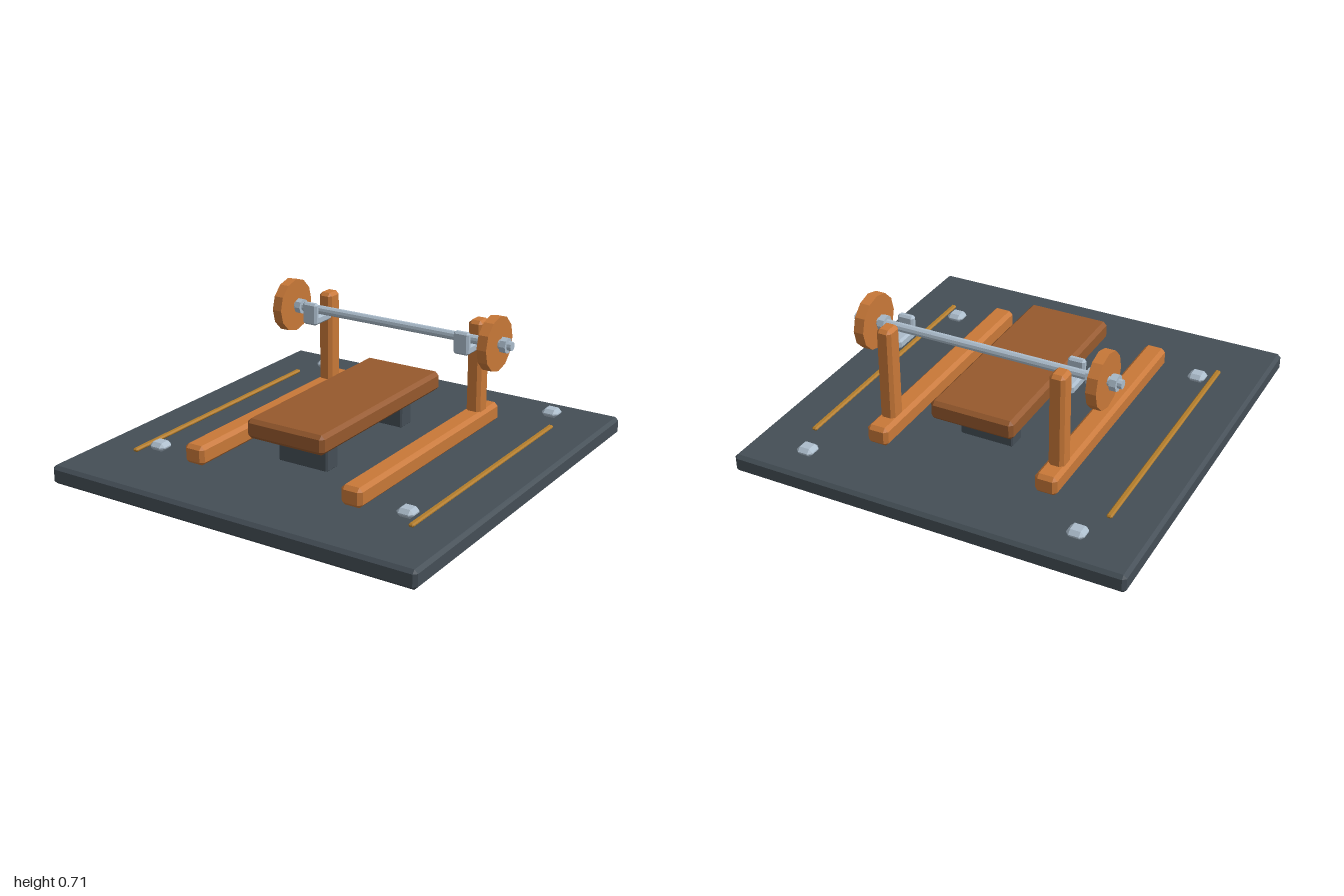
import * as THREE from 'three';
import { ConvexGeometry } from 'three/addons/geometries/ConvexGeometry.js';

const material = (name, color) => {
  const m = new THREE.MeshStandardMaterial({ color });
  m.name = name;
  return m;
};

// Box with every edge cut by a flat chamfer c
function chamferBox(w, h, d, c) {
  const points = [];
  for (const sx of [-1, 1]) for (const sy of [-1, 1]) for (const sz of [-1, 1]) {
    const x = w / 2, y = h / 2, z = d / 2;
    points.push(
      new THREE.Vector3(sx * x, sy * (y - c), sz * (z - c)),
      new THREE.Vector3(sx * (x - c), sy * y, sz * (z - c)),
      new THREE.Vector3(sx * (x - c), sy * (y - c), sz * z));
  }
  return new ConvexGeometry(points);
}

export function createModel() {
  const model = new THREE.Group();
  model.name = 'weightBench';

  const slate = material('slate', 0x444e56);
  const orange = material('orange', 0xc87838);
  const brown = material('brown', 0x96592d);
  const steel = material('steel', 0xabbccb);
  const gold = material('gold', 0xb27c2a);

  // Chamfered box given by its lower and upper limits on each axis
  const box = (name, mat, [x0, x1], [y0, y1], [z0, z1], c) => {
    const mesh = new THREE.Mesh(chamferBox(x1 - x0, y1 - y0, z1 - z0, c), mat);
    mesh.position.set((x0 + x1) / 2, (y0 + y1) / 2, (z0 + z1) / 2);
    mesh.name = name;
    model.add(mesh);
  };

  // Faceted cylinder lying along x on the barbell axis
  const barY = 0.578, barZ = -0.375;
  const disc = (name, mat, x, length, radius, sides) => {
    const geo = new THREE.CylinderGeometry(radius, radius, length, sides).toNonIndexed();
    geo.computeVertexNormals();
    const mesh = new THREE.Mesh(geo, mat);
    mesh.rotation.z = Math.PI / 2;
    mesh.position.set(x, barY, barZ);
    mesh.name = name;
    model.add(mesh);
  };

  // Floor platform
  box('platform', slate, [-0.97, 0.97], [0, 0.09], [-1, 1], 0.016);

  // Bench
  box('benchPad', brown, [-0.21, 0.21], [0.23, 0.326], [-0.522, 0.522], 0.018);
  box('benchFrontLeg', slate, [-0.135, 0.135], [0.085, 0.235], [0.28, 0.376], 0.008);
  box('benchRearLeg', slate, [-0.135, 0.135], [0.085, 0.235], [-0.372, -0.276], 0.008);

  // Barbell
  disc('bar', steel, 0, 1.34, 0.022, 10);

  for (const s of [-1, 1]) {
    const span = (cx, w) => [s * cx - w / 2, s * cx + w / 2];

    // Rack: floor rail, upright and bar cup
    box('rackRail', orange, span(0.428, 0.108), [0.088, 0.184], [-0.638, 0.638], 0.018);
    box('rackPost', orange, span(0.43, 0.075), [0.1, 0.642], [-0.54, -0.448], 0.016);
    box('cupBase', steel, span(0.43, 0.082), [0.51, 0.556], [-0.455, -0.31], 0.01);
    box('cupLip', steel, span(0.43, 0.082), [0.51, 0.622], [-0.345, -0.31], 0.01);

    // Weight plate between two collars
    disc('weightPlate', orange, s * 0.577, 0.05, 0.134, 12);
    disc('innerCollar', steel, s * 0.522, 0.032, 0.039, 8);
    disc('outerCollar', steel, s * 0.633, 0.032, 0.039, 8);

    // Platform trim and anchor bolts
    box('trimStrip', gold, span(0.75, 0.027), [0.092, 0.109], [-0.672, 0.672], 0.006);
    for (const z of [-0.83, 0.57])
      box('anchorBolt', steel, span(0.677, 0.085), [0.088, 0.13], [z - 0.042, z + 0.042], 0.018);
  }

  return model;
}
